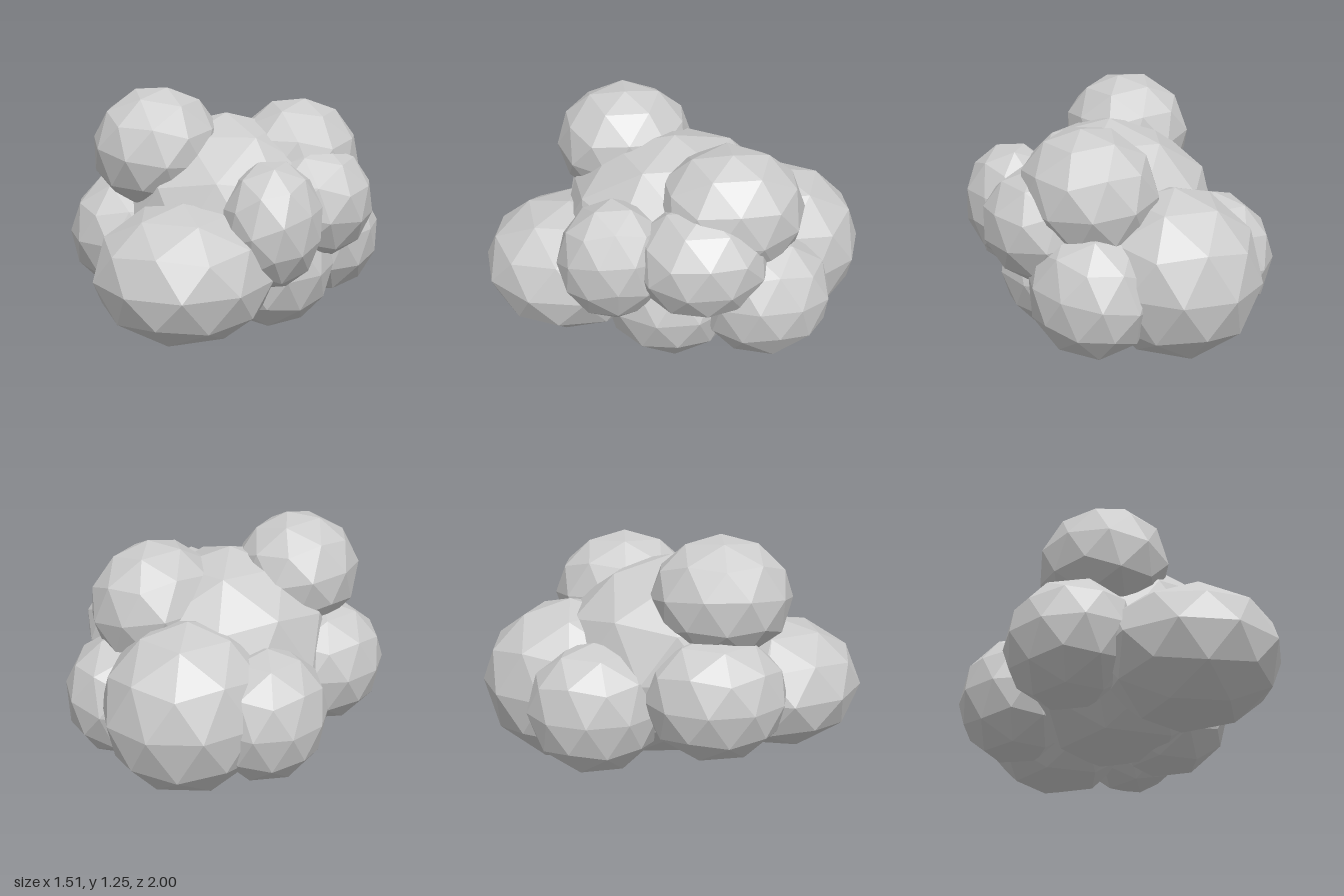
import * as THREE from 'three';

// Each lobe: name, centre, radii, yaw and tilt of its facets
const LOBES = [
  ['core', [0, 0.56, 0], [0.55, 0.54, 0.6], 0, 0],
  ['frontLobe', [0, 0.405, 0.55], [0.45, 0.345, 0.46], -0.22, 0],
  ['backLobe', [0, 0.435, -0.53], [0.425, 0.435, 0.47], 0, 0],
  ['upperFrontLobe', [-0.285, 0.94, 0.23], [0.325, 0.315, 0.36], 0, -0.18],
  ['upperBackLobe', [0.305, 0.825, -0.24], [0.335, 0.335, 0.38], 0, -0.13],
  ['rightMiddleLobe', [0.455, 0.655, -0.08], [0.31, 0.3, 0.345], 0, -0.2],
  ['rightFrontLobe', [0.38, 0.63, 0.345], [0.25, 0.32, 0.285], 0, 0.3],
  ['rightLowerLobe', [0.27, 0.335, 0.05], [0.325, 0.335, 0.35], 0, 0],
  ['rightBackLobe', [0.41, 0.39, -0.41], [0.305, 0.335, 0.345], 0.1, 0.2],
  ['leftFrontLobe', [-0.455, 0.48, 0.19], [0.317, 0.325, 0.365], 0.15, 0],
  ['leftBackLobe', [-0.365, 0.4, -0.405], [0.3, 0.34, 0.345], 0.2, 0],
];

// Angle that brings a corner of the icosahedron to the top
const POLE_UP = Math.atan(2 / (1 + Math.sqrt(5)));

export function createModel() {
  const group = new THREE.Group();
  group.name = 'lobedCluster';
  const material = new THREE.MeshStandardMaterial({ color: 0xcccccc, flatShading: true });

  for (const [name, centre, radii, yaw, tilt] of LOBES) {
    // Faceted ball, turned first and then stretched
    const geometry = new THREE.IcosahedronGeometry(1, 1);
    geometry.rotateZ(POLE_UP).rotateY(yaw).rotateZ(tilt).scale(...radii);
    const lobe = new THREE.Mesh(geometry, material);
    lobe.name = name;
    lobe.position.set(...centre);
    group.add(lobe);
  }
  return group;
}
